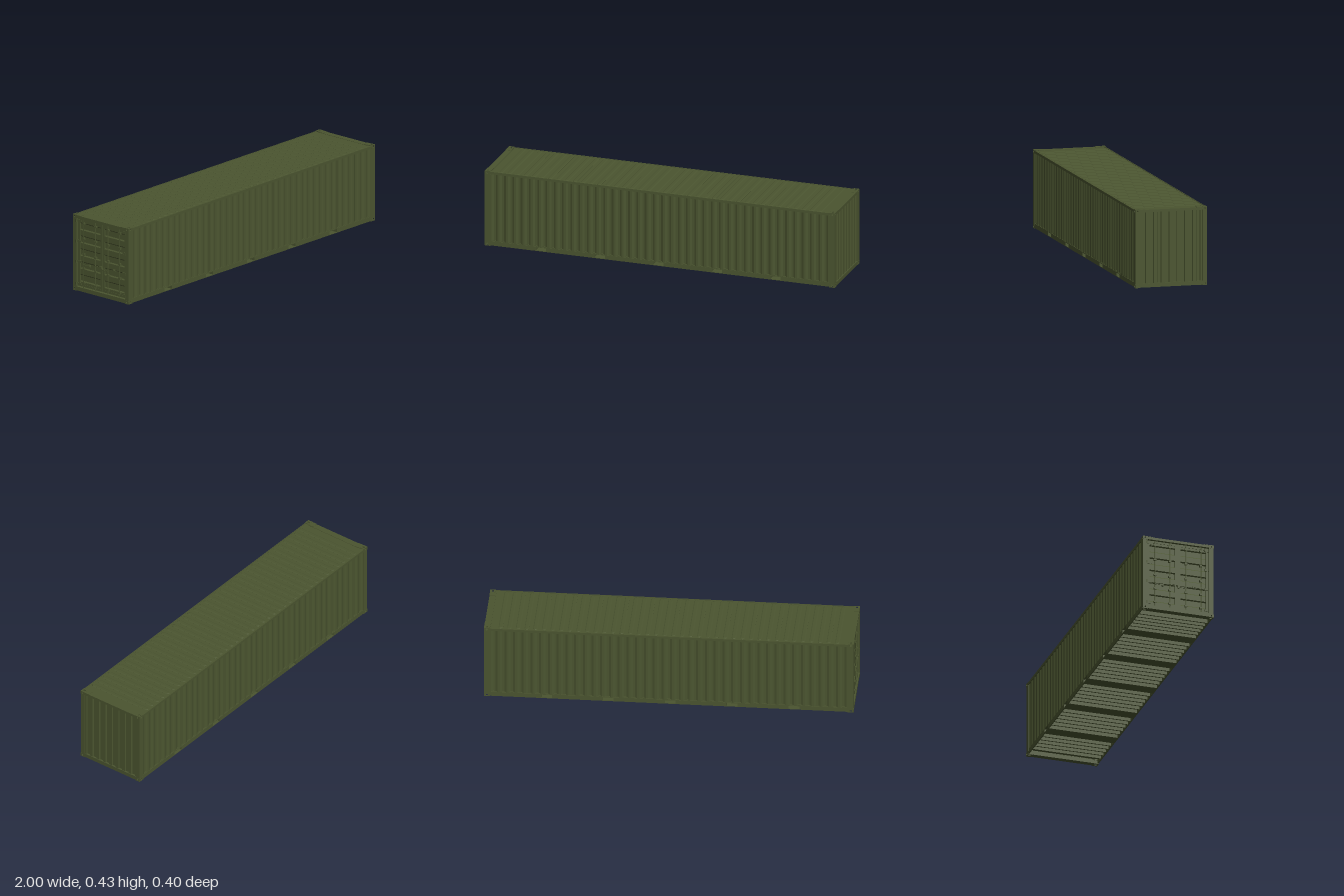
import * as THREE from 'three';

const mat = new THREE.MeshStandardMaterial({ color: 0x4b5530, side: THREE.DoubleSide });

function add(parent, name, geo, x = 0, y = 0, z = 0) {
  const m = new THREE.Mesh(geo, mat);
  m.name = name;
  m.position.set(x, y, z);
  parent.add(m);
  return m;
}

// box given by its minimum and maximum on each axis
function box(parent, name, x0, x1, y0, y1, z0, z1) {
  return add(parent, name, new THREE.BoxGeometry(x1 - x0, y1 - y0, z1 - z0),
    (x0 + x1) / 2, (y0 + y1) / 2, (z0 + z1) / 2);
}

// trapezoid-corrugated sheet, width along x, height along y, outer flats at z = 0
function corrugated(width, height, count, depth, slope) {
  const p = width / count, flat = (0.5 - slope) * p, front = [];
  for (let i = 0; i < count; i++) {
    const x = -width / 2 + i * p;
    front.push([x, 0], [x + flat / 2, 0], [x + flat / 2 + slope * p, depth],
      [x + flat * 1.5 + slope * p, depth], [x + flat * 1.5 + 2 * slope * p, 0]);
  }
  front.push([width / 2, 0]);
  const back = front.map(([x, d]) => [x, d + 0.001]).reverse();
  const shape = new THREE.Shape([...front, ...back].map(([x, d]) => new THREE.Vector2(x, d)));
  return new THREE.ExtrudeGeometry(shape, { depth: height, bevelEnabled: false }).rotateX(-Math.PI / 2);
}

// upright slot with rounded ends
function slot(Type, w, h, cx = 0, cy = 0) {
  const s = new Type(), r = w / 2, k = h / 2 - r;
  s.absarc(cx, cy + k, r, 0, Math.PI, false);
  s.absarc(cx, cy - k, r, Math.PI, Math.PI * 2, false);
  s.closePath();
  return s;
}

function rectShape(x0, x1, y0, y1) {
  return new THREE.Shape([[x0, y0], [x1, y0], [x1, y1], [x0, y1]].map(([x, y]) => new THREE.Vector2(x, y)));
}

// thin plate with a slot through it, centred
function slottedPlate(w, h, sw, sh) {
  const s = rectShape(-w / 2, w / 2, -h / 2, h / 2);
  s.holes.push(slot(THREE.Path, sw, sh));
  return new THREE.ExtrudeGeometry(s, { depth: 0.003, bevelEnabled: false, curveSegments: 6 }).translate(0, 0, -0.0015);
}

const H = 0.429, W = 0.201, L = 1;
const pockets = [-0.677, -0.342, -0.008, 0.327, 0.661];

function createFrame() {
  const g = new THREE.Group();
  g.name = 'frame';
  const cx = 0.031, cy = 0.019, cz = 0.027;
  for (const sx of [-1, 1]) for (const sz of [-1, 1]) {
    const px = sx * (L - 0.0175);
    add(g, 'cornerPost', new THREE.BoxGeometry(0.033, 0.393, 0.026), px, 0.2145, sz * 0.1875);
    // hollow corner castings with slots on the outer faces
    for (const top of [0, 1]) {
      const c = new THREE.Group();
      c.name = 'cornerCasting';
      const my = top ? H - cy / 2 : cy / 2;
      add(c, 'castingEnd', slottedPlate(cz, cy, 0.008, 0.0095).rotateY(Math.PI / 2),
        sx * (L - 0.0015), my, sz * (W - cz / 2));
      add(c, 'castingSide', slottedPlate(cx, cy, 0.012, 0.0125), sx * (L - cx / 2), my, sz * (W - 0.0015));
      add(c, 'castingCap', slottedPlate(cx, cz, 0.01, 0.018).rotateX(Math.PI / 2),
        sx * (L - cx / 2), top ? H - 0.0015 : 0.0015, sz * (W - cz / 2));
      if (!top) add(c, 'castingBack', new THREE.BoxGeometry(0.003, cy, cz), sx * (L - cx), my, sz * (W - cz / 2));
      g.add(c);
    }
    // raised roof plate beside each top casting
    add(g, 'roofCornerPlate', new THREE.BoxGeometry(0.034, 0.002, 0.03), sx * 0.983, 0.427, sz * 0.159);
  }
  for (const sx of [-1, 1]) {
    add(g, 'header', new THREE.BoxGeometry(0.03, 0.014, 0.348), sx * 0.984, 0.419, 0);
    add(g, 'sill', new THREE.BoxGeometry(0.03, 0.022, 0.35), sx * 0.984, 0.013, 0);
  }
  for (const sz of [-1, 1]) {
    box(g, 'topRail', -0.97, 0.97, 0.412, 0.426, sz * 0.1985 - 0.0025, sz * 0.1985 + 0.0025);
    // bottom rail pierced by the fork pockets
    const s = rectShape(-0.97, 0.97, 0.003, 0.028);
    for (const x of pockets) s.holes.push(rectShape(x - 0.029, x + 0.029, 0.006, 0.024));
    add(g, 'bottomRail', new THREE.ExtrudeGeometry(s, { depth: 0.006, bevelEnabled: false }), 0, 0, sz * 0.197 - 0.003);
  }
  return g;
}

function createRoof() {
  const g = new THREE.Group();
  g.name = 'roof';
  box(g, 'roofSheet', -0.97, 0.97, 0.4232, 0.4242, -0.197, 0.197);
  // rounded pressed ribs
  const rib = new THREE.ExtrudeGeometry(slot(THREE.Shape, 0.016, 0.372), {
    depth: 0.0005, bevelEnabled: true, bevelThickness: 0.002, bevelSize: 0.004, bevelSegments: 1, curveSegments: 8,
  }).rotateX(-Math.PI / 2);
  const n = 40;
  for (let i = 0; i < n; i++) add(g, 'roofRib', rib, -0.91 + (1.82 * i) / (n - 1), 0.424, 0);
  for (const sx of [-1, 1]) box(g, 'roofEndSeam', sx * 0.968 - 0.003, sx * 0.968 + 0.003, 0.424, 0.426, -0.18, 0.18);
  return g;
}

function createUnderside() {
  const g = new THREE.Group();
  g.name = 'underside';
  box(g, 'floor', -0.97, 0.97, 0.027, 0.031, -0.196, 0.196);
  for (const x of pockets) {
    box(g, 'pocketBottom', x - 0.036, x + 0.036, 0.003, 0.005, -0.195, 0.195);
    for (const s of [-1, 1]) box(g, 'pocketWall', x + s * 0.034 - 0.002, x + s * 0.034 + 0.002, 0.003, 0.028, -0.195, 0.195);
  }
  // cross members spaced evenly in each bay between pockets
  const stops = [-0.985, ...pockets, 0.985];
  for (let b = 0; b < stops.length - 1; b++) {
    const a = stops[b] + 0.034, e = stops[b + 1] - 0.034, n = 5;
    for (let i = 1; i <= n; i++) {
      const x = a + ((e - a) * i) / (n + 1);
      box(g, 'crossMemberWeb', x - 0.0015, x + 0.0015, 0.005, 0.028, -0.195, 0.195);
      box(g, 'crossMemberFlange', x - 0.0015, x + 0.007, 0.005, 0.007, -0.195, 0.195);
    }
  }
  return g;
}

// door end, built facing +z
function createDoors() {
  const g = new THREE.Group();
  g.name = 'doors';
  const y0 = 0.026, y1 = 0.411, h = y1 - y0;
  for (const s of [-1, 1]) {
    const c = s * 0.0875;
    const panel = corrugated(h - 0.02, 0.15, 5, 0.005, 0.08).translate(0, -0.075, 0).rotateZ(Math.PI / 2);
    add(g, 'doorPanel', panel, c, (y0 + y1) / 2, 0.984);
    for (const t of [-1, 1]) {
      add(g, 'doorStile', new THREE.BoxGeometry(0.014, h, 0.01), c + t * 0.0795, (y0 + y1) / 2, 0.981);
      add(g, 'doorRail', new THREE.BoxGeometry(0.173, 0.012, 0.01), c, (y0 + y1) / 2 + t * (h / 2 - 0.006), 0.981);
      // locking rod with guides and end cams
      const x = c + t * 0.042;
      add(g, 'lockRod', new THREE.CylinderGeometry(0.0028, 0.0028, 0.4, 10), x, 0.2185, 0.992);
      for (const y of [0.05, 0.13, 0.21, 0.3, 0.385])
        add(g, 'rodGuide', new THREE.BoxGeometry(0.014, 0.01, 0.012), x, y, 0.989);
      for (const y of [0.018, 0.418]) add(g, 'rodCam', new THREE.BoxGeometry(0.016, 0.01, 0.009), x, y, 0.9945);
      // swing handle
      add(g, 'handle', new THREE.BoxGeometry(0.052, 0.005, 0.003), x - s * 0.022, 0.16 + t * 0.006, 0.996);
      add(g, 'handleCatch', new THREE.BoxGeometry(0.01, 0.012, 0.01), x - s * 0.042, 0.16 + t * 0.006, 0.99);
    }
    for (const y of [0.04, 0.165, 0.28, 0.395]) {
      add(g, 'hingeLeaf', new THREE.BoxGeometry(0.03, 0.012, 0.004), s * 0.165, y, 0.989);
      add(g, 'hingePin', new THREE.CylinderGeometry(0.004, 0.004, 0.016, 10), s * 0.178, y, 0.996);
    }
  }
  box(g, 'doorSeal', -0.003, 0.003, y0, y1, 0.98, 0.988);
  g.rotation.y = -Math.PI / 2;
  return g;
}

export function createModel() {
  const model = new THREE.Group();
  model.name = 'shippingContainer';
  model.add(createFrame(), createRoof(), createUnderside(), createDoors());
  // corrugated long walls
  const side = corrugated(1.934, 0.388, 41, 0.006, 0.24);
  add(model, 'leftWall', side, 0, 0.026, 0.199);
  add(model, 'rightWall', side, 0, 0.026, -0.199).rotation.y = Math.PI;
  // corrugated closed end
  const end = corrugated(0.35, 0.39, 8, 0.0075, 0.07);
  add(model, 'endWall', end, 0.996, 0.023, 0).rotation.y = Math.PI / 2;
  return model;
}
